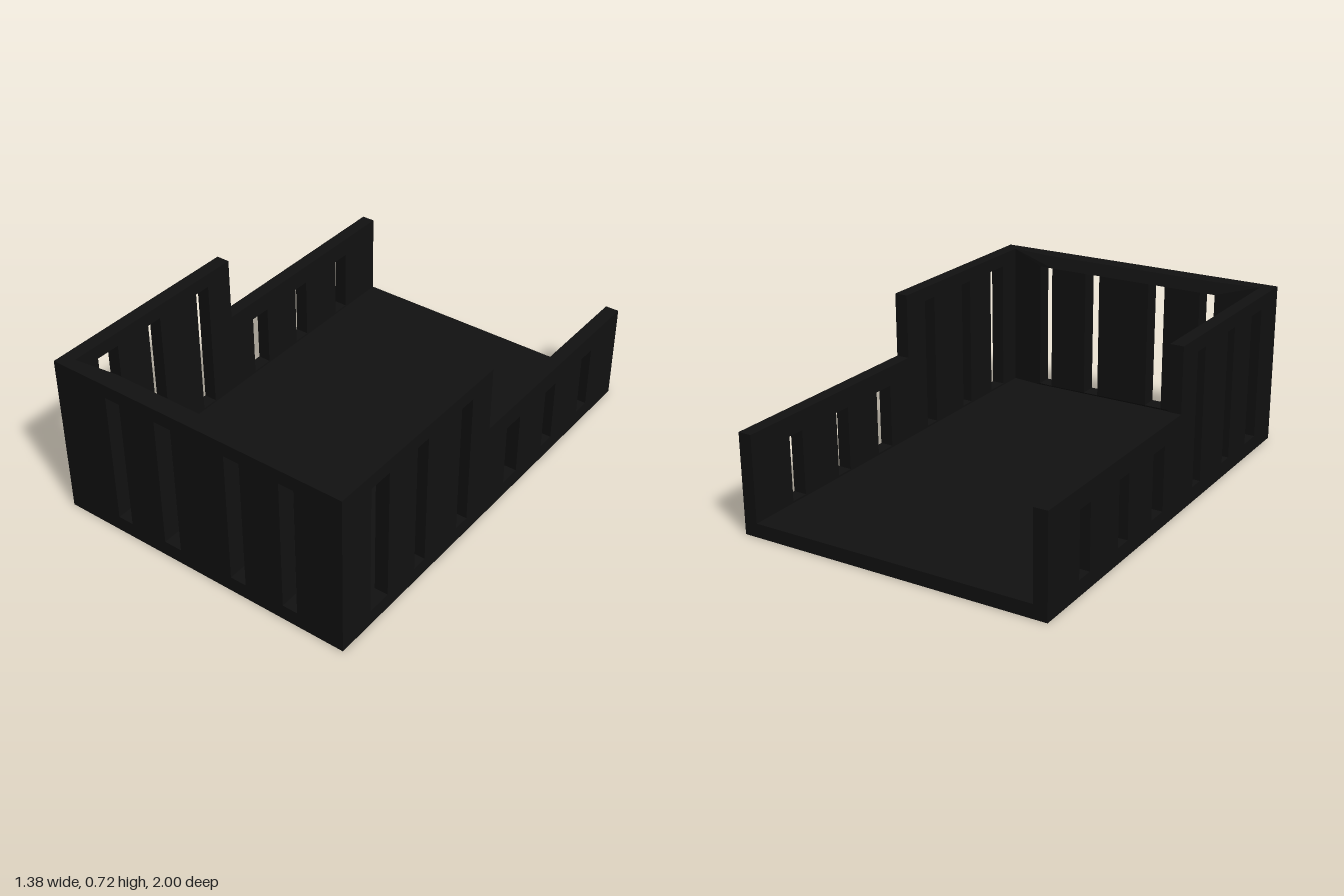
import * as THREE from 'three';

const HALF_W = 0.69, INNER = 0.63, FLOOR = 0.06, HIGH = 0.72, LOW = 0.435, STEP_Z = 0.045;
const SLOT_BOTTOM = 0.068, SLOT_TOP = 0.66, LOW_SLOT_TOP = 0.35;

const material = new THREE.MeshStandardMaterial({ color: 0x111111, flatShading: true });

// Flat panel outline with upright rectangular slots [from, to, top]
function slottedPanel(points, slots, depth) {
  const shape = new THREE.Shape(points.map(([x, y]) => new THREE.Vector2(x, y)));
  for (const [a, b, top] of slots) {
    shape.holes.push(new THREE.Path([
      new THREE.Vector2(a, SLOT_BOTTOM), new THREE.Vector2(a, top),
      new THREE.Vector2(b, top), new THREE.Vector2(b, SLOT_BOTTOM),
    ]));
  }
  return new THREE.ExtrudeGeometry(shape, { depth, bevelEnabled: false });
}

function addPart(group, name, geometry) {
  const mesh = new THREE.Mesh(geometry, material);
  mesh.name = name;
  group.add(mesh);
  return mesh;
}

export function createModel() {
  const group = new THREE.Group();
  group.name = 'slottedTray';

  // Floor slab, open at the back
  const floor = addPart(group, 'floor', new THREE.BoxGeometry(2 * INNER, FLOOR, 1.95));
  floor.position.set(0, FLOOR / 2, -0.025);

  // Front wall, slightly thicker in the middle than at its ends
  const front = slottedPanel(
    [[-INNER, 0], [-0.43, 0], [0.43, 0], [INNER, 0],
      [INNER, HIGH], [0.43, HIGH], [-0.43, HIGH], [-INNER, HIGH]],
    [[-0.427, -0.355], [-0.18, -0.098], [0.157, 0.23], [0.41, 0.478]].map(([a, b]) => [a, b, SLOT_TOP]),
    1
  );
  const pos = front.attributes.position;
  for (let i = 0; i < pos.count; i++) {
    const ends = Math.max(0, (Math.abs(pos.getX(i)) - 0.43) / (INNER - 0.43));
    const thickness = 0.08 - 0.025 * ends;
    pos.setZ(i, pos.getZ(i) > 0.5 ? 1 : 1 - thickness);
  }
  front.computeVertexNormals();
  addPart(group, 'frontWall', front);

  // Stepped side walls: tall slots at the front, short ones behind
  const outline = [[-1, 0], [1, 0], [1, LOW], [-STEP_Z, LOW], [-STEP_Z, HIGH], [-1, HIGH]];
  const slots = [
    [-0.83, -0.72, SLOT_TOP], [-0.545, -0.475, SLOT_TOP], [-0.255, -0.18, SLOT_TOP],
    [0.095, 0.195, LOW_SLOT_TOP], [0.395, 0.475, LOW_SLOT_TOP], [0.695, 0.775, LOW_SLOT_TOP],
  ];
  for (const [name, x] of [['leftWall', INNER], ['rightWall', -HALF_W]]) {
    const wall = slottedPanel(outline, slots, HALF_W - INNER);
    wall.rotateY(Math.PI / 2);
    addPart(group, name, wall).position.x = x;
  }

  return group;
}
